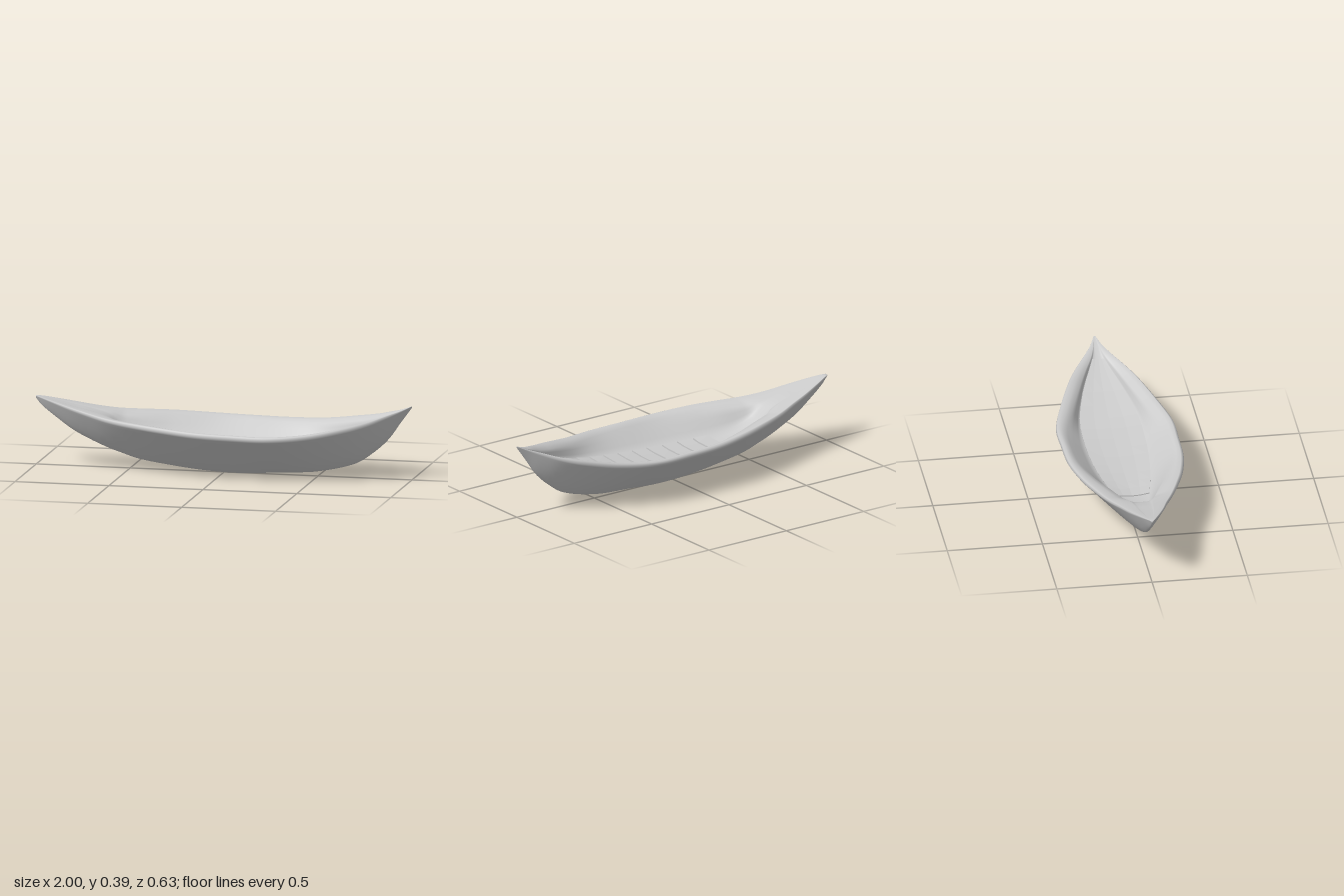
import * as THREE from 'three';

// Stations along the boat: x, keel height, rim height, half width,
// floor half width, floor height, inner edge of the rim as a fraction of the half width
const STATIONS = [
  [-1, 0.35, 0.364, 0.01, 0.003, 0.364, 0.45],
  [-0.97, 0.315, 0.36, 0.025, 0.008, 0.36, 0.45],
  [-0.9, 0.26, 0.346, 0.055, 0.02, 0.345, 0.45],
  [-0.8, 0.19, 0.325, 0.093, 0.03, 0.322, 0.45],
  [-0.7, 0.14, 0.305, 0.125, 0.035, 0.3, 0.42],
  [-0.61, 0.103, 0.29, 0.16, 0.04, 0.268, 0.42],
  [-0.54, 0.08, 0.283, 0.187, 0.05, 0.21, 0.48],
  [-0.45, 0.053, 0.278, 0.22, 0.065, 0.172, 0.57],
  [-0.3, 0.03, 0.27, 0.267, 0.09, 0.145, 0.7],
  [-0.1, 0.008, 0.258, 0.303, 0.125, 0.133, 0.8],
  [0.1, 0.001, 0.252, 0.31, 0.148, 0.132, 0.83],
  [0.3, 0.013, 0.25, 0.308, 0.157, 0.142, 0.8],
  [0.5, 0.026, 0.265, 0.258, 0.15, 0.168, 0.73],
  [0.7, 0.075, 0.3, 0.182, 0.102, 0.23, 0.64],
  [0.8, 0.14, 0.322, 0.128, 0.062, 0.275, 0.58],
  [0.88, 0.215, 0.347, 0.072, 0.025, 0.328, 0.47],
  [0.94, 0.3, 0.366, 0.033, 0.012, 0.362, 0.45],
  [1, 0.382, 0.39, 0.004, 0.001, 0.39, 0.45],
];

// Outer skin from keel to gunwale: [height fraction, width fraction]
const SKIN = [[0.01, 0.07], [0.065, 0.16], [0.22, 0.345], [0.45, 0.575], [0.68, 0.795], [0.8, 0.9], [0.87, 0.97], [0.92, 1]];

// Smooth interpolation of the station table at x
function stationAt(x) {
  const S = STATIONS;
  let i = 0;
  while (i < S.length - 2 && x > S[i + 1][0]) i++;
  const slope = (j, c) => {
    const a = S[Math.max(j - 1, 0)], b = S[Math.min(j + 1, S.length - 1)];
    return (b[c] - a[c]) / (b[0] - a[0]);
  };
  const h = S[i + 1][0] - S[i][0], t = (x - S[i][0]) / h, t2 = t * t, t3 = t2 * t;
  const at = (c) =>
    (2 * t3 - 3 * t2 + 1) * S[i][c] + (t3 - 2 * t2 + t) * h * slope(i, c) +
    (3 * t2 - 2 * t3) * S[i + 1][c] + (t3 - t2) * h * slope(i + 1, c);
  return { keel: at(1), rim: at(2), half: at(3), floorHalf: at(4), floorY: at(5), inner: at(6) };
}

// Closed cross-section as [y, z]: outer skin, rim, inner wall and floor
function section(x) {
  const { keel, rim, half, floorHalf, floorY, inner } = stationAt(x);
  const depth = rim - keel;
  const side = SKIN.map(([h, w]) => [keel + h * depth, w * half]);
  side.push([rim - 0.02 * depth, half * 0.985], [rim, half * 0.945]);
  // Rim top runs inward, then turns down into the wall
  const drop = Math.min(0.02, (rim - floorY) * 0.3), innerZ = half * inner;
  side.push([rim - drop * 0.3, (half * 0.945 + innerZ) / 2], [rim - drop, innerZ]);
  for (const t of [0.33, 0.67, 1]) {
    side.push([
      THREE.MathUtils.lerp(rim - drop, floorY, t),
      THREE.MathUtils.lerp(innerZ, floorHalf, t),
    ]);
  }
  const dish = 0.08 * (rim - floorY);
  side.push([floorY - dish * 0.7, floorHalf * 0.5]);
  const mirrored = side.map(([y, z]) => [y, -z]).reverse();
  return [[keel, 0], ...side, [floorY - dish, 0], ...mirrored];
}

function hullGeometry() {
  const steps = 120, positions = [], index = [];
  let n = 0;
  for (let i = 0; i <= steps; i++) {
    const x = -1 + (2 * i) / steps;
    const ring = section(x);
    n = ring.length;
    for (const [y, z] of ring) positions.push(x, y, z);
  }
  for (let i = 0; i < steps; i++) {
    for (let j = 0; j < n; j++) {
      const a = i * n + j, b = i * n + ((j + 1) % n);
      index.push(a, a + n, b, b, a + n, b + n);
    }
  }
  // Close both tips
  const last = steps * n;
  for (let j = 1; j < n - 1; j++) {
    index.push(0, j, j + 1, last, last + j + 1, last + j);
  }
  const g = new THREE.BufferGeometry();
  g.setAttribute('position', new THREE.Float32BufferAttribute(positions, 3));
  g.setIndex(index);
  g.computeVertexNormals();
  return g;
}

// Floor board fitted to the floor outline, its forward edge lifted over the next board
function boardGeometry(x, length) {
  const g = new THREE.BoxGeometry(length, 0.01, 2, 1, 1, 4);
  const p = g.attributes.position;
  for (let i = 0; i < p.count; i++) {
    const px = x + p.getX(i), s = stationAt(px), z = p.getZ(i);
    const dish = 0.08 * (s.rim - s.floorY) * (1 - z * z);
    const lift = p.getX(i) > 0 ? 0.006 : 0.001;
    p.setXYZ(i, px, s.floorY - dish + p.getY(i) + lift, z * s.floorHalf * 1.02);
  }
  const flat = g.toNonIndexed();
  flat.computeVertexNormals();
  return flat;
}

export function createModel() {
  const material = new THREE.MeshStandardMaterial({ color: 0xcccccc });
  const boat = new THREE.Group();
  boat.name = 'canoe';

  const hull = new THREE.Mesh(hullGeometry(), material);
  hull.name = 'hull';
  boat.add(hull);

  // Row of crosswise floor boards
  const boards = new THREE.Group();
  boards.name = 'floorBoards';
  const spacing = 0.09;
  for (let i = 0; i < 13; i++) {
    const board = new THREE.Mesh(boardGeometry(-0.26 + i * spacing, spacing - 0.004), material);
    board.name = 'floorBoard';
    boards.add(board);
  }
  boat.add(boards);
  return boat;
}
